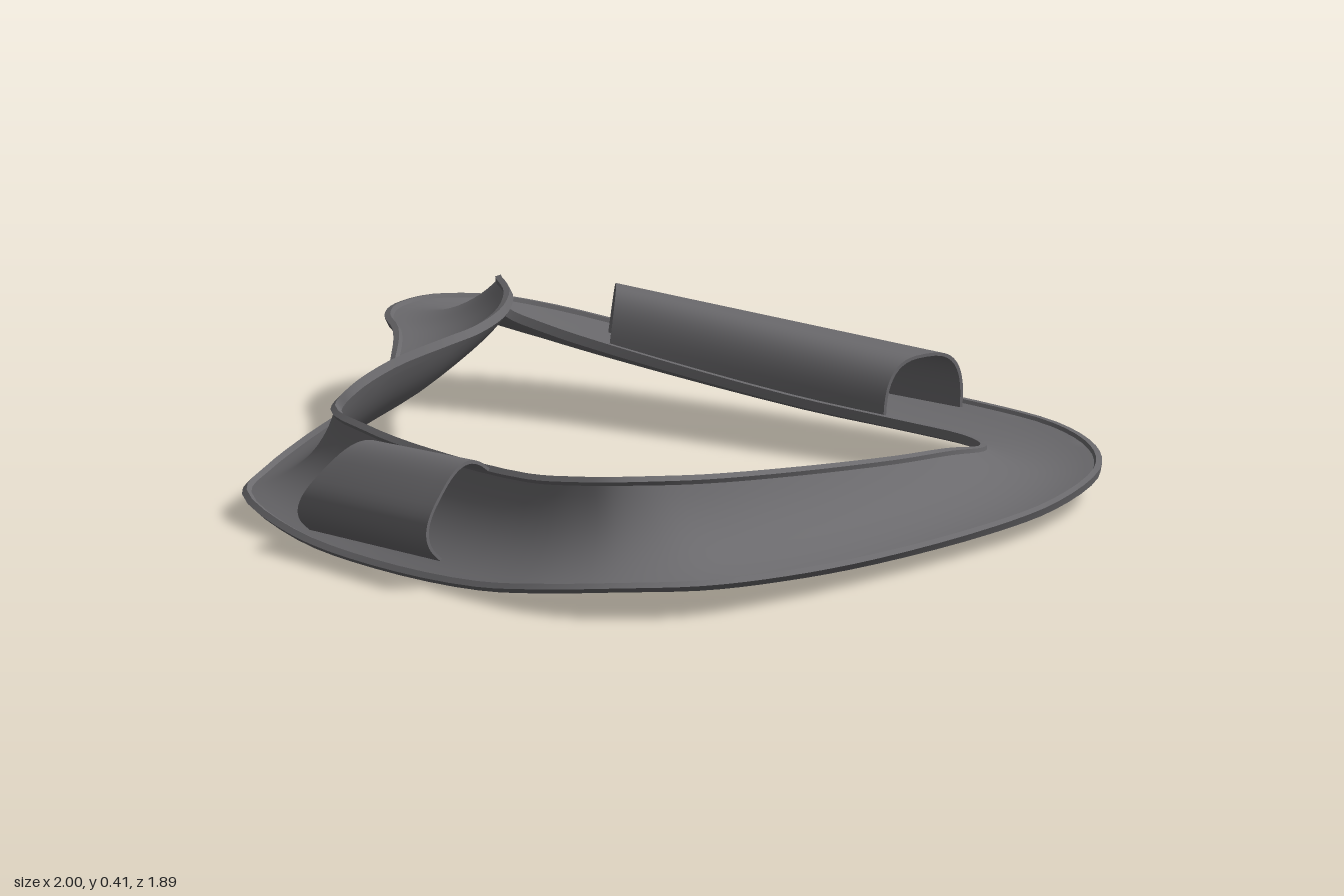
import * as THREE from 'three';
import { toCreasedNormals } from 'three/addons/utils/BufferGeometryUtils.js';

// Edge paths of the track, paired station by station, clockwise from above
const OUTER = [
  [-1, .25, -.53], [-.985, .245, -.67], [-.885, .23, -.797], [-.75, .21, -.86], [-.46, .17, -.917],
  [.09, .13, -.947], [.40, .122, -.942], [.66, .115, -.90], [.835, .105, -.80], [.945, .095, -.65],
  [.997, .08, -.385], [.983, .073, -.13], [.915, .073, .27], [.84, .082, .56], [.742, .092, .78],
  [.58, .09, .905], [.41, .072, .945], [.18, .04, .92], [-.18, .022, .828], [-.46, .035, .742],
  [-.70, .07, .595], [-.742, .09, .445], [-.72, .14, .30], [-.647, .215, .17], [-.637, .26, .07],
  [-.70, .28, -.06], [-.83, .272, -.26], [-.945, .258, -.40],
];
const INNER = [
  [-.705, .35, -.545], [-.702, .30, -.548], [-.69, .28, -.552], [-.60, .25, -.572], [-.40, .21, -.603],
  [.06, .155, -.63], [.38, .135, -.643], [.56, .135, -.618], [.65, .14, -.567], [.695, .15, -.50],
  [.715, .185, -.33], [.71, .215, -.10], [.665, .263, .27], [.60, .30, .56], [.535, .315, .69],
  [.46, .315, .748], [.37, .305, .758], [.22, .288, .744], [-.14, .277, .64], [-.37, .28, .55],
  [-.505, .295, .485], [-.495, .33, .44], [-.458, .375, .32], [-.392, .41, .17], [-.377, .417, .08],
  [-.405, .42, -.08], [-.50, .413, -.27], [-.62, .395, -.42],
];

const vec = (p) => new THREE.Vector3(...p);

// Skin a shell through rings; each ring holds its top points, then its bottom points reversed
function loft(rings, closed) {
  const n = rings[0].length, m = rings.length, half = n / 2;
  const index = [];
  for (let i = 0; i < (closed ? m : m - 1); i++) {
    for (let j = 0; j < n; j++) {
      const a = i * n + j, b = i * n + (j + 1) % n;
      const k = (i + 1) % m, d = k * n + j, e = k * n + (j + 1) % n;
      index.push(a, b, d, b, e, d);
    }
  }
  if (!closed) {
    const last = (m - 1) * n;
    for (let k = 0; k < half - 1; k++) {
      const t0 = k, t1 = k + 1, b0 = n - 1 - k, b1 = n - 2 - k;
      index.push(b0, b1, t0, b1, t1, t0);
      index.push(last + b0, last + t0, last + b1, last + b1, last + t0, last + t1);
    }
  }
  const g = new THREE.BufferGeometry();
  g.setAttribute('position', new THREE.Float32BufferAttribute(rings.flat().flatMap((p) => p.toArray()), 3));
  g.setIndex(index);
  return toCreasedNormals(g, 0.6);
}

// Gutter-shaped track with a small raised lip along both edges, deeper where it banks
function trackGeometry() {
  const outer = new THREE.CatmullRomCurve3(OUTER.map(vec), true);
  const inner = new THREE.CatmullRomCurve3(INNER.map(vec), true);
  const steps = OUTER.length * 4, arcSteps = 12;
  const rings = [];
  for (let i = 0; i < steps; i++) {
    const t = i / steps;
    const o = outer.getPoint(t), p = inner.getPoint(t);
    const chord = p.clone().sub(o), width = chord.length();
    const tangent = outer.getTangent(t).add(inner.getTangent(t).multiplyScalar(0.4));
    const up = chord.clone().cross(tangent).normalize();
    const depth = 0.1 * width + 0.08 * chord.y;
    const sag = (s) => -depth * 4 * s * (1 - s);
    const at = (s, h) => o.clone().addScaledVector(chord, s).addScaledVector(up, h);
    const top = [at(0, 0), at(.05, 0)], bottom = [at(0, -.022), at(.05, -.022 + sag(.05))];
    for (let k = 0; k <= arcSteps; k++) {
      const s = .06 + .88 * k / arcSteps;
      top.push(at(s, sag(s) - .002));
      bottom.push(at(s, sag(s) - .022));
    }
    top.push(at(.95, 0), at(1, 0));
    bottom.push(at(.95, -.022 + sag(.95)), at(1, -.022));
    rings.push([...top, ...bottom.reverse()]);
  }
  return loft(rings, true);
}

// Arched cover between two ends, each given by an outer and an inner foot, clockwise along the track
function coverGeometry(outA, inA, outB, inB, height) {
  const [oa, ia, ob, ib] = [outA, inA, outB, inB].map(vec);
  const along = ob.clone().add(ib).sub(oa).sub(ia);
  const steps = 8, arcSteps = 24, thickness = .008;
  const rings = [];
  for (let i = 0; i <= steps; i++) {
    const o = oa.clone().lerp(ob, i / steps), p = ia.clone().lerp(ib, i / steps);
    const chord = p.clone().sub(o), mid = o.clone().lerp(p, .5);
    const up = chord.clone().cross(along).normalize();
    const arc = (inset) => Array.from({ length: arcSteps + 1 }, (_, k) => {
      const a = Math.PI * k / arcSteps, c = Math.cos(a);
      const across = Math.sign(c) * Math.abs(c) ** .7;
      return mid.clone()
        .addScaledVector(chord, -across * (.5 - inset / chord.length()))
        .addScaledVector(up, Math.max(Math.sin(a), 0) ** .7 * (height - inset));
    });
    rings.push([...arc(0), ...arc(thickness).reverse()]);
  }
  return loft(rings, false);
}

export function createModel() {
  const group = new THREE.Group();
  const grey = new THREE.MeshStandardMaterial({ color: 0x6a696c });
  grey.name = 'dark grey';
  const add = (name, geometry) => {
    const mesh = new THREE.Mesh(geometry, grey);
    mesh.name = name;
    group.add(mesh);
  };
  add('track', trackGeometry());
  add('longTunnel', coverGeometry(
    [-.59, .155, -.835], [-.475, .175, -.665], [.38, .11, -.91], [.30, .115, -.685], .15));
  add('shortTunnel', coverGeometry(
    [.065, .08, .892], [.10, .28, .73], [-.40, .06, .755], [-.25, .26, .64], .1));
  // Rest the lowest point on the ground
  group.position.y = -new THREE.Box3().setFromObject(group).min.y;
  return group;
}
